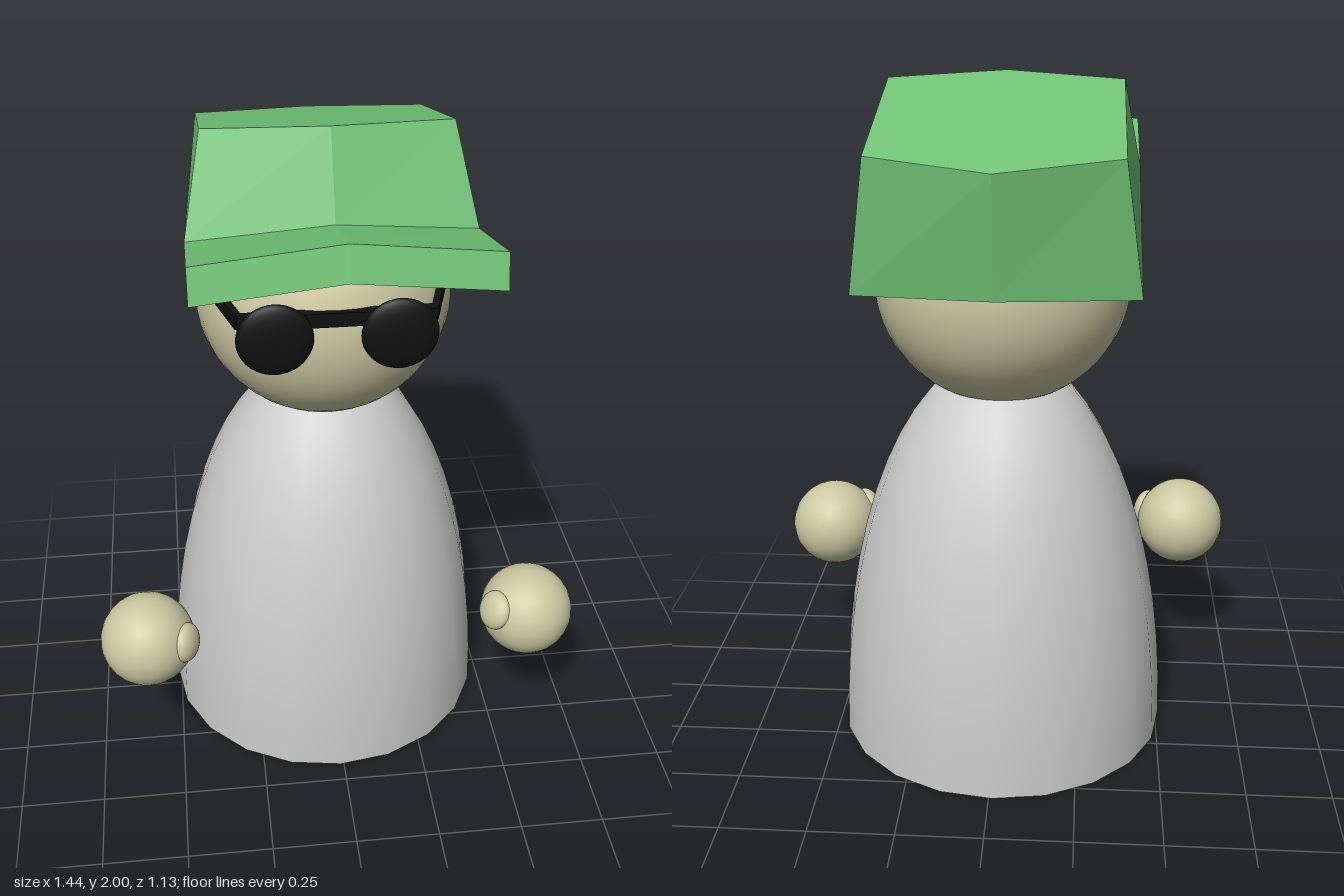
import * as THREE from 'three';

const mat = (color, extra = {}) => new THREE.MeshStandardMaterial({ color, ...extra });
const CX = -0.01, CZ = -0.065; // axis of body and head

function add(parent, name, geometry, material, x = 0, y = 0, z = 0) {
  const mesh = new THREE.Mesh(geometry, material);
  mesh.name = name;
  mesh.position.set(x, y, z);
  parent.add(mesh);
  return mesh;
}

// Cap shell: three cross-sections (right side, middle, left side) of six points each
function capGeometry() {
  // [half width, y, z]: brim bottom, brim top, brim root, crown front, crown back, rear hem
  const side = [
    [0.395, 1.71, 0.565], [0.395, 1.805, 0.54], [0.395, 1.714, 0.196],
    [0.34, 1.98, 0.08], [0.34, 1.84, -0.442], [0.395, 1.457, -0.39],
  ];
  const middle = [
    [0, 1.752, 0.567], [0, 1.847, 0.542], [0, 1.767, 0.249],
    [0, 1.997, 0.144], [0, 1.815, -0.537], [0, 1.472, -0.488],
  ];
  const place = (pts, s) => pts.map(([x, y, z]) => [CX + s * x, y, z]);
  const rows = [place(side, -1), place(middle, 0), place(side, 1)];
  const pos = [];
  const tri = (a, b, c) => pos.push(...a, ...b, ...c);
  for (let r = 0; r < 2; r++) {
    for (let i = 0; i < 6; i++) {
      const k = (i + 1) % 6, A = rows[r], B = rows[r + 1];
      tri(A[i], B[i], B[k]);
      tri(A[i], B[k], A[k]);
    }
  }
  // side walls
  for (const [a, b, c] of [[0, 1, 2], [0, 2, 5], [2, 3, 4], [2, 4, 5]]) {
    tri(rows[0][a], rows[0][b], rows[0][c]);
    tri(rows[2][c], rows[2][b], rows[2][a]);
  }
  const g = new THREE.BufferGeometry();
  g.setAttribute('position', new THREE.Float32BufferAttribute(pos, 3));
  g.computeVertexNormals();
  return g;
}

export function createModel() {
  const model = new THREE.Group();
  model.name = 'figure';
  const skin = mat(0xccc8a2), grey = mat(0xcccccc), black = mat(0x111111);
  const green = mat(0x70c275, { flatShading: true });

  // body: half ellipsoid with a flat base
  const body = new THREE.Group();
  body.name = 'body';
  body.position.set(CX, 0, CZ);
  model.add(body);
  const profile = [];
  for (let i = 0; i <= 14; i++) {
    const t = (i / 14) * Math.PI / 2;
    profile.push(new THREE.Vector2(0.5 * Math.cos(t), 1.205 * Math.sin(t)));
  }
  add(body, 'robe', new THREE.LatheGeometry(profile, 20), grey);
  add(body, 'base', new THREE.CircleGeometry(0.5, 20), grey).rotation.x = Math.PI / 2;

  // head and cap
  add(model, 'head', new THREE.SphereGeometry(0.375, 40, 28), skin, CX, 1.443, CZ);
  add(model, 'cap', capGeometry(), green);

  // sunglasses
  const glasses = new THREE.Group();
  glasses.name = 'sunglasses';
  glasses.position.x = CX;
  model.add(glasses);
  add(glasses, 'browBar', new THREE.BoxGeometry(0.54, 0.042, 0.03), black, 0, 1.52, 0.297);
  for (const s of [-1, 1]) {
    add(glasses, 'lens', new THREE.SphereGeometry(0.106, 28, 18), black, s * 0.17, 1.47, 0.312)
      .scale.z = 0.25;
    const from = new THREE.Vector3(s * 0.265, 1.52, 0.295), to = new THREE.Vector3(s * 0.372, 1.52, -0.072);
    const arm = add(glasses, 'templeArm', new THREE.BoxGeometry(0.02, 0.042, from.distanceTo(to)), black);
    arm.position.copy(from).lerp(to, 0.5);
    arm.rotation.y = Math.atan2(from.x - to.x, from.z - to.z);
  }

  // floating hands, each with a thumb on the inner front
  const hands = [
    { name: 'rightHand', s: -1, at: [-0.583, 0.495, 0.34], thumb: [-0.468, 0.515, 0.395], lean: 0.1 },
    { name: 'leftHand', s: 1, at: [0.582, 0.473, 0.302], thumb: [0.471, 0.518, 0.355], lean: -0.4 },
  ];
  for (const { name, s, at, thumb, lean } of hands) {
    const hand = new THREE.Group();
    hand.name = name;
    model.add(hand);
    add(hand, 'palm', new THREE.SphereGeometry(0.14, 28, 20), skin, ...at);
    const t = add(hand, 'thumb', new THREE.SphereGeometry(1, 20, 14), skin, ...thumb);
    t.scale.set(0.034, 0.06, 0.058);
    t.rotation.set(0, s * 0.45, lean);
  }
  return model;
}
